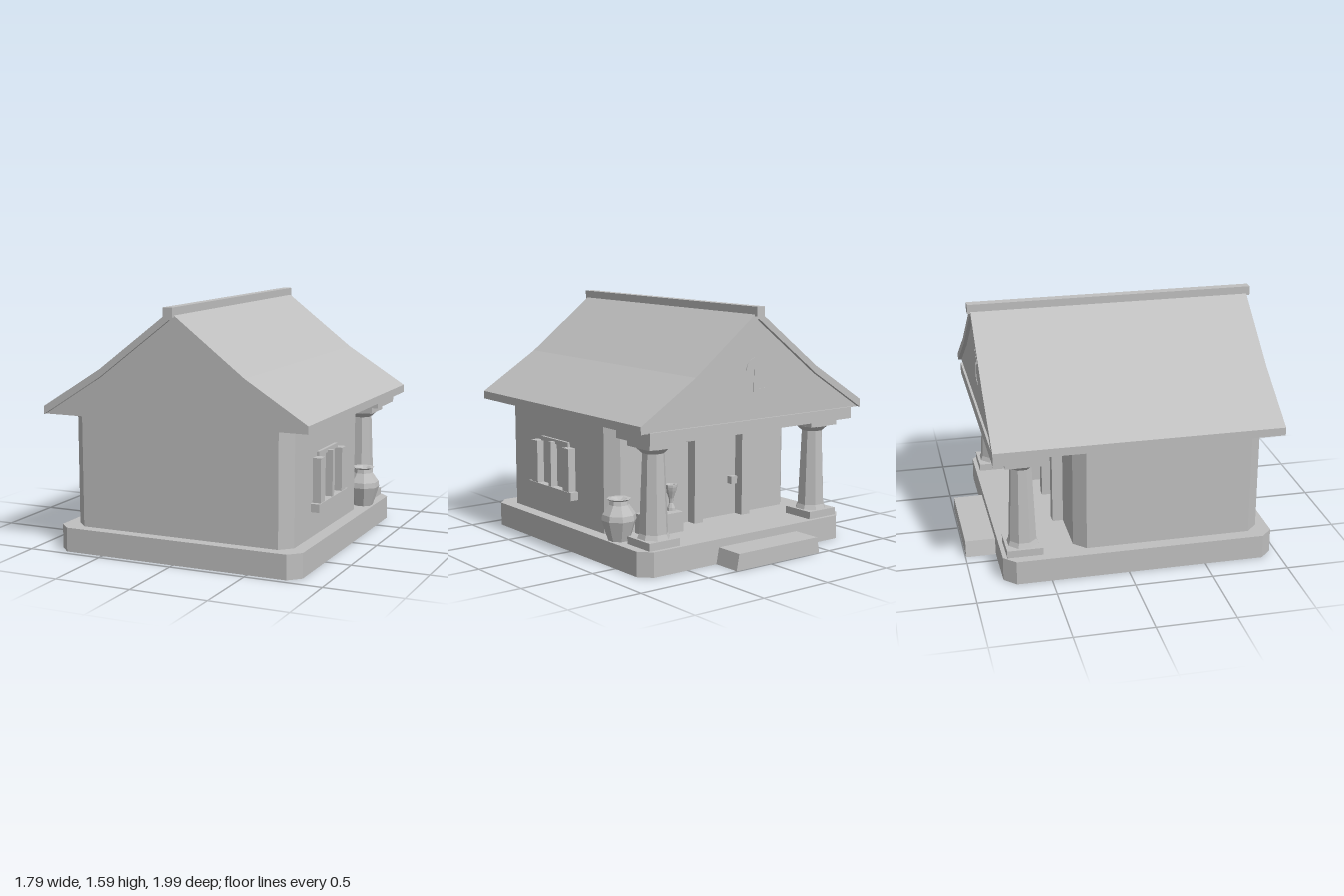
import * as THREE from 'three';

const stone = new THREE.MeshStandardMaterial({ color: 0xbfbfbf });
stone.name = 'plain grey';

export function createModel() {
  const model = new THREE.Group();
  model.name = 'smallShrine';

  const add = (name, geometry, x = 0, y = 0, z = 0, parent = model) => {
    const mesh = new THREE.Mesh(geometry, stone);
    mesh.name = name;
    mesh.position.set(x, y, z);
    parent.add(mesh);
    return mesh;
  };

  // Box given by its limits on each axis
  const box = (name, [x0, x1], [y0, y1], [z0, z1], parent) =>
    add(name, new THREE.BoxGeometry(x1 - x0, y1 - y0, z1 - z0),
      (x0 + x1) / 2, (y0 + y1) / 2, (z0 + z1) / 2, parent);

  const polygon = (points) => new THREE.Shape(points.map(([x, y]) => new THREE.Vector2(x, y)));

  // Rectangle with cut corners, in plan (second axis is -z)
  const cutPlan = (x, z0, z1, c) => [
    [-x + c, -z1], [x - c, -z1], [x, -z1 + c], [x, -z0 - c],
    [x - c, -z0], [-x + c, -z0], [-x, -z0 - c], [-x, -z1 + c],
  ];

  const upright = (name, shape, y0, y1) => {
    const g = new THREE.ExtrudeGeometry(shape, { depth: y1 - y0, bevelEnabled: false });
    return add(name, g.rotateX(-Math.PI / 2), 0, y0, 0);
  };

  const alongZ = (name, shape, z0, z1) =>
    add(name, new THREE.ExtrudeGeometry(shape, { depth: z1 - z0, bevelEnabled: false }), 0, 0, z0);

  // Faceted eight-sided turning
  const turned = (name, profile, x, y, z, parent) => {
    const pts = profile.map(([r, h]) => new THREE.Vector2(r * 1.06, h));
    const g = new THREE.LatheGeometry(pts, 8).rotateY(Math.PI / 8).toNonIndexed();
    g.computeVertexNormals();
    return add(name, g, x, y, z, parent);
  };

  // Hollow plinth: top slab and a skirt open underneath
  upright('plinthTop', polygon(cutPlan(0.832, -0.8, 0.96, 0.075)), 0.145, 0.157);
  const skirt = polygon(cutPlan(0.832, -0.8, 0.96, 0.075));
  skirt.holes.push(polygon(cutPlan(0.822, -0.79, 0.95, 0.071)));
  upright('plinthSkirt', skirt, 0, 0.145);

  // Entrance step with slightly sloping ends
  alongZ('entranceStep', polygon([[-0.417, 0], [0.275, 0], [0.255, 0.105], [-0.397, 0.105]]), -0.995, -0.795);
  box('innerStep', [-0.4, 0.26], [0.03, 0.15], [-0.6, -0.44]);

  // Main room with cut corners
  upright('roomWalls', polygon(cutPlan(0.747, -0.335, 0.885, 0.075)), 0.14, 0.89);

  // Gable body and curved roof sheet
  const under = [[-0.895, 0.885], [-0.49, 1.14], [0, 1.515], [0.49, 1.14], [0.895, 0.885]];
  const over = [[0.895, 0.937], [0.49, 1.19], [0, 1.565], [-0.49, 1.19], [-0.895, 0.937]];
  alongZ('gable', polygon([...under].reverse()), -0.835, 0.955);
  alongZ('roof', polygon([...under, ...over]), -0.86, 0.975);
  box('ridgeBeam', [-0.031, 0.031], [1.53, 1.59], [-0.88, 0.998]);

  // Porch beam and columns
  box('porchBeam', [-0.822, 0.822], [0.815, 0.89], [-0.85, -0.505]);
  for (const side of [-1, 1]) {
    const column = new THREE.Group();
    column.name = side > 0 ? 'leftColumn' : 'rightColumn';
    column.position.set(side * 0.655, 0, -0.658);
    model.add(column);
    box('columnFoot', [-0.115, 0.115], [0.157, 0.205], [-0.115, 0.115], column);
    turned('columnShaft', [[0.1, 0.2], [0.086, 0.235], [0.066, 0.73], [0.1, 0.762], [0.1, 0.772]], 0, 0, 0, column);
    box('columnCapital', [-0.113, 0.113], [0.768, 0.82], [-0.113, 0.113], column);
  }

  // Door frame and handle
  for (const x of [-0.3, 0.1]) box('doorPost', [x - 0.035, x + 0.035], [0.157, 0.71], [-0.405, -0.33]);
  box('doorLintel', [-0.41, 0.21], [0.71, 0.785], [-0.425, -0.33]);
  box('doorHandle', [-0.25, -0.2], [0.37, 0.42], [-0.375, -0.33]);

  // Side window on the +x wall
  const wall = 0.74;
  box('windowSill', [wall, 0.805], [0.32, 0.373], [0.035, 0.545]);
  box('windowPane', [wall, 0.752], [0.373, 0.655], [0.135, 0.44]);
  box('windowLintel', [wall, 0.765], [0.655, 0.685], [0.125, 0.45]);
  for (const z of [0.1, 0.478]) box('windowShutter', [wall, 0.8], [0.373, 0.655], [z - 0.036, z + 0.036]);
  box('windowMullion', [wall, 0.8], [0.373, 0.67], [0.275, 0.305]);

  // Thin arched ornament on the porch gable
  const arch = new THREE.Shape();
  arch.absarc(0, 1.2, 0.075, 0, Math.PI);
  alongZ('gableArch', arch, -0.839, -0.83);
  box('gableOrnamentPost', [-0.015, 0.015], [1.06, 1.2], [-0.839, -0.83]);
  box('gableOrnamentFoot', [-0.075, 0.015], [1.06, 1.08], [-0.839, -0.83]);

  // Large storage jar beside the porch
  turned('storageJar', [
    [0, 0], [0.065, 0], [0.105, 0.13], [0.1, 0.165], [0.06, 0.225],
    [0.055, 0.25], [0.073, 0.262], [0.05, 0.262], [0, 0.24],
  ], 0.752, 0.157, -0.43);

  // Offering stand with three goblets
  box('offeringStand', [0.31, 0.58], [0.157, 0.285], [-0.51, -0.36]);
  for (const x of [0.35, 0.445, 0.54]) {
    turned('goblet', [
      [0, 0], [0.028, 0], [0.025, 0.02], [0.012, 0.05], [0.015, 0.08],
      [0.032, 0.13], [0.038, 0.155], [0.038, 0.17], [0.028, 0.17], [0, 0.13],
    ], x, 0.284, -0.435);
  }

  return model;
}
